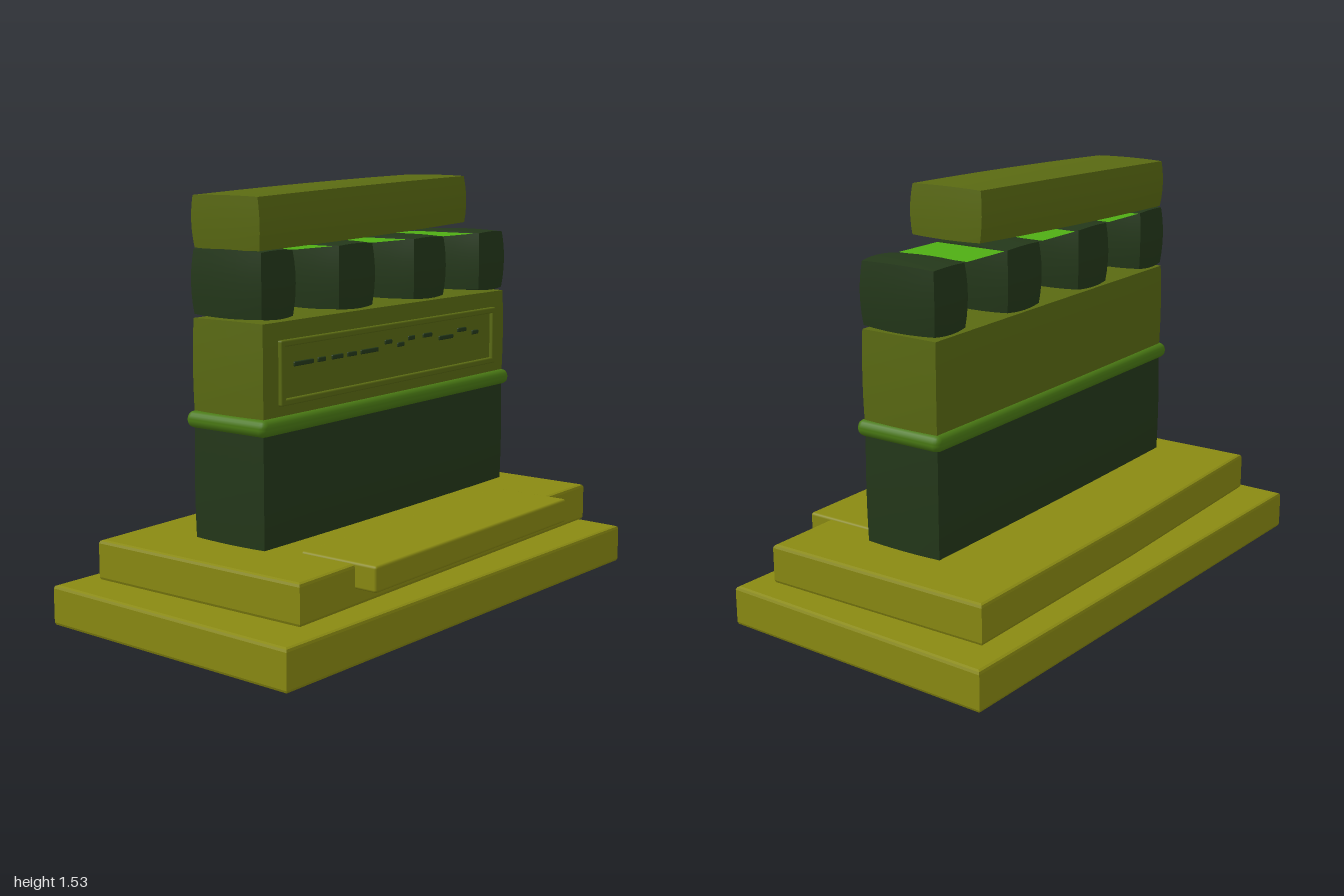
import * as THREE from 'three';
import { RoundedBoxGeometry } from 'three/addons/geometries/RoundedBoxGeometry.js';

const OLIVE = 0x8a8a12, MOSS = 0x5a6a12, DARK = 0x24381a, GREEN = 0x4a7a14;

const mat = (color, side = THREE.FrontSide) => new THREE.MeshStandardMaterial({ color, side });

function add(parent, name, geometry, color, side) {
  const mesh = new THREE.Mesh(geometry, mat(color, side));
  mesh.name = name;
  parent.add(mesh);
  return mesh;
}

// Box given by its extents; bulge [x, y, z] swells the middle of each pair of faces
function stone([x0, x1], [y0, y1], [z0, z1], bulge = [0, 0, 0], n = 6) {
  const g = new THREE.BoxGeometry(2, 2, 2, n, n, n);
  const p = g.attributes.position;
  const half = [(x1 - x0) / 2, (y1 - y0) / 2, (z1 - z0) / 2];
  for (let i = 0; i < p.count; i++) {
    const u = [p.getX(i), p.getY(i), p.getZ(i)];
    const q = u.map((v, k) => {
      const a = u[(k + 1) % 3], b = u[(k + 2) % 3];
      const swell = 1 - (a * a + b * b) / 2;
      return v * (half[k] - bulge[k] * (1 - swell));
    });
    p.setXYZ(i, q[0] + (x0 + x1) / 2, q[1] + (y0 + y1) / 2, q[2] + (z0 + z1) / 2);
  }
  g.computeVertexNormals();
  return g;
}

// Slab with an uneven four-cornered outline: back left, back right, front right, front left
function slab(corners, y0, y1) {
  const shape = new THREE.Shape(corners.map(([x, z]) => new THREE.Vector2(x, -z)));
  const b = 0.012;
  const g = new THREE.ExtrudeGeometry(shape, {
    depth: y1 - y0 - 2 * b, bevelThickness: b, bevelSize: b, bevelOffset: -b, bevelSegments: 2,
  });
  g.rotateX(-Math.PI / 2);
  g.translate(0, y0 + b, 0);
  return g;
}

function bar(x0, x1, y0, y1, z0, z1, r) {
  const g = new RoundedBoxGeometry(x1 - x0, y1 - y0, z1 - z0, 2, r);
  return g.translate((x0 + x1) / 2, (y0 + y1) / 2, (z0 + z1) / 2);
}

export function createModel() {
  const model = new THREE.Group();
  model.name = 'monument';

  // Stepped base
  add(model, 'plinth', slab([[-0.97, -0.57], [1, -0.51], [0.96, 0.57], [-1, 0.505]], 0, 0.145), OLIVE);
  add(model, 'upperStep',
    slab([[-0.88, -0.435], [0, -0.45], [0.89, -0.44], [0.895, 0.445], [-0.87, 0.45]], 0.165, 0.308), OLIVE);
  add(model, 'frontLedge', bar(-0.59, 0.605, 0.225, 0.315, 0.22, 0.535, 0.01), OLIVE);

  // Main wall in two courses with a rounded band between them
  add(model, 'lowerWall', stone([-0.71, 0.725], [0.325, 0.735], [-0.145, 0.167], [0.006, 0.004, 0.004]), DARK);
  add(model, 'upperWall', stone([-0.71, 0.73], [0.735, 1.08], [-0.147, 0.167], [0.008, 0.004, 0.005]), MOSS);
  add(model, 'band', bar(-0.73, 0.745, 0.707, 0.765, -0.165, 0.188, 0.026), GREEN);

  // Raised frame on the front
  const frame = new THREE.Group();
  frame.name = 'panelFrame';
  model.add(frame);
  for (const y of [0.80, 0.995]) add(frame, 'frameRail', bar(-0.63, 0.65, y, y + 0.022, 0.15, 0.18, 0.006), MOSS);
  for (const x of [-0.63, 0.628]) add(frame, 'frameStile', bar(x, x + 0.022, 0.80, 1.017, 0.15, 0.18, 0.006), MOSS);

  // Small raised dashes: x, width, height
  const dashes = [
    [-0.505, 0.1, 0.932], [-0.41, 0.04, 0.932], [-0.325, 0.06, 0.932], [-0.245, 0.05, 0.932],
    [-0.145, 0.1, 0.932], [-0.035, 0.04, 0.952], [0.04, 0.04, 0.935], [0.105, 0.04, 0.952],
    [0.205, 0.055, 0.952], [0.325, 0.09, 0.932], [0.43, 0.055, 0.95], [0.52, 0.04, 0.932],
  ];
  for (const [x, w, y] of dashes) {
    add(model, 'dash', bar(x - w / 2, x + w / 2, y - 0.008, y + 0.008, 0.155, 0.173, 0.004), DARK);
  }

  // Four swollen blocks on the wall
  for (const [x0, x1] of [[-0.715, -0.53], [-0.315, -0.1], [0.12, 0.335], [0.545, 0.735]]) {
    add(model, 'topBlock', stone([x0, x1], [1.08, 1.315], [-0.152, 0.17], [0.014, 0.01, 0.014]), DARK);
  }

  // Hanging drops and thin sheets bridging the gaps
  const drop = [[0, -0.065], [0.013, -0.045], [0.016, -0.01], [0.011, 0.025], [0, 0.065]]
    .map(([r, y]) => new THREE.Vector2(r, y));
  for (const x of [-0.425, 0.008, 0.44]) {
    add(model, 'drop', new THREE.LatheGeometry(drop, 12), DARK).position.set(x, 1.172, 0.01);
    const sheet = new THREE.PlaneGeometry(0.21, 0.285).rotateX(-Math.PI / 2);
    add(model, 'sheet', sheet, 0x4fae14, THREE.DoubleSide).position.set(x, 1.305, 0.005);
  }

  // Tilted beam resting on three blocks
  const beam = stone([-0.59, 0.59], [-0.092, 0.092], [-0.157, 0.157], [0.006, 0.006, 0.016]);
  const lintel = add(model, 'beam', beam, MOSS);
  lintel.position.set(-0.122, 1.417, 0.01);
  lintel.rotation.z = 0.036;

  return model;
}
